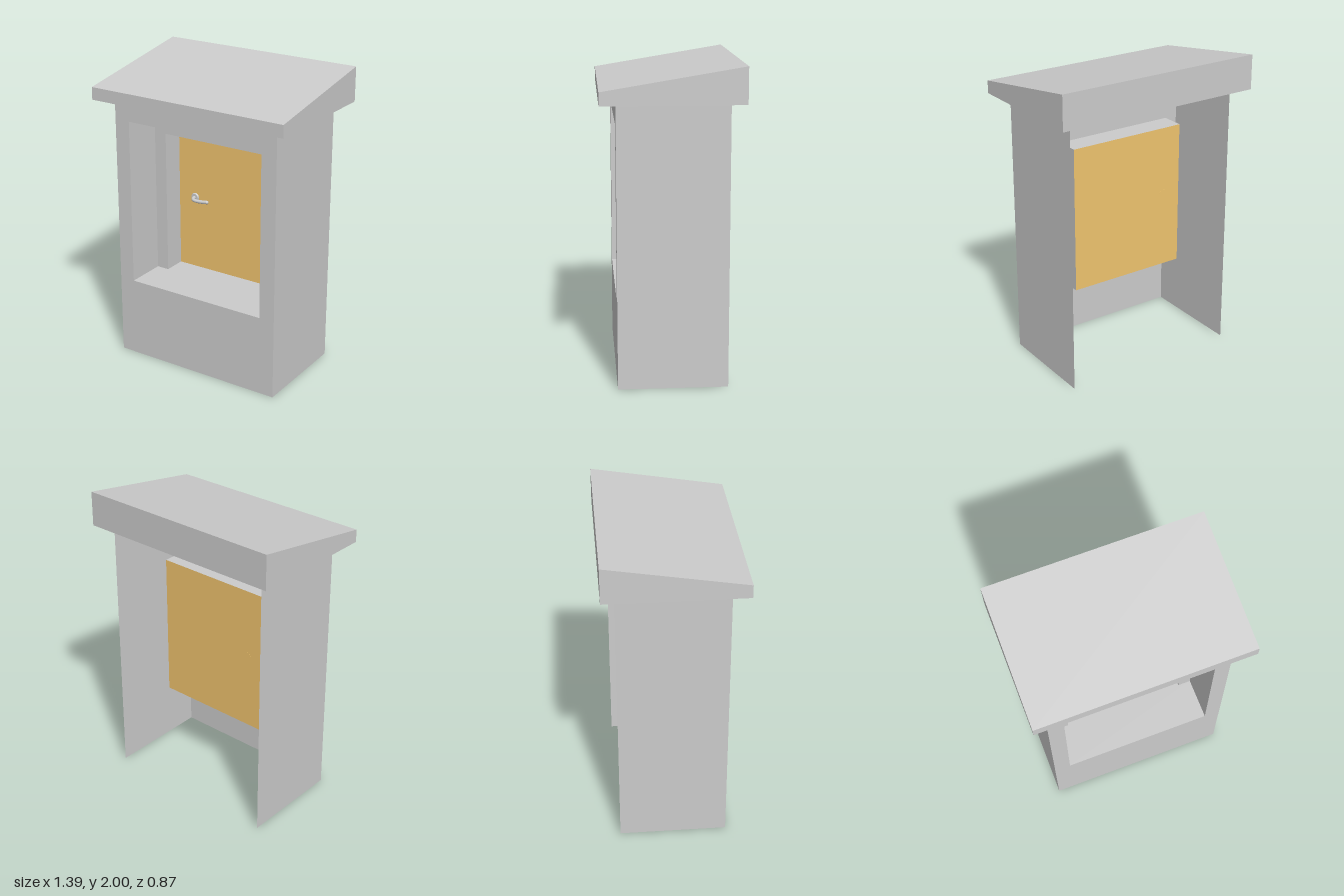
import * as THREE from 'three';

const grey = new THREE.MeshStandardMaterial({ color: 0xcccccc, side: THREE.DoubleSide });
const wood = new THREE.MeshStandardMaterial({ color: 0xf0c46e, side: THREE.DoubleSide });

const W = 0.595, H = 1.775, FRONT = 0.335, BACK = -0.35;        // booth shell
const SILL = 0.535;                                             // bottom of the opening
const OUT_X = 0.49, OUT_Y = 1.64;                               // outer opening
const IN_X = 0.405, IN_Y = 1.5;                                 // inner opening
const STEP_Z = 0.063, DOOR_Z = -0.088;

export function createModel() {
  const root = new THREE.Group();
  const add = (name, geometry, material = grey) => {
    const mesh = new THREE.Mesh(geometry, material);
    mesh.name = name;
    root.add(mesh);
    return mesh;
  };

  // Thin upright panel across x, with a rectangular opening standing on the sill
  const framePanel = (name, x, y0, y1, holeX, holeY, z) => {
    const shape = new THREE.Shape([[-x, y0], [x, y0], [x, y1], [-x, y1]].map(p => new THREE.Vector2(...p)));
    shape.holes.push(new THREE.Path(
      [[-holeX, SILL], [-holeX, holeY], [holeX, holeY], [holeX, SILL]].map(p => new THREE.Vector2(...p))));
    add(name, new THREE.ShapeGeometry(shape).translate(0, 0, z));
  };
  // Thin panel in a plane of constant x
  const sidePanel = (name, x, y0, y1, z0, z1) => add(name,
    new THREE.PlaneGeometry(z1 - z0, y1 - y0).rotateY(Math.sign(x) * Math.PI / 2)
      .translate(x, (y0 + y1) / 2, (z0 + z1) / 2));
  // Thin level panel
  const levelPanel = (name, x, y, z0, z1) => add(name,
    new THREE.PlaneGeometry(2 * x, z1 - z0).rotateX(-Math.PI / 2).translate(0, y, (z0 + z1) / 2));

  // Shell, open at the back and underneath
  framePanel('frontWall', W, 0, H, OUT_X, OUT_Y, FRONT);

  // Stepped recess around the hatch
  const step = new THREE.Shape([
    [-OUT_X, SILL], [-IN_X, SILL], [-IN_X, IN_Y], [IN_X, IN_Y],
    [IN_X, SILL], [OUT_X, SILL], [OUT_X, OUT_Y], [-OUT_X, OUT_Y],
  ].map(p => new THREE.Vector2(...p)));
  add('recessStep', new THREE.ShapeGeometry(step).translate(0, 0, STEP_Z));
  for (const s of [1, -1]) {
    const side = s > 0 ? 'left' : 'right';
    sidePanel(side + 'Wall', s * W, 0, H, BACK, FRONT);
    sidePanel(side + 'OuterJamb', s * OUT_X, SILL, OUT_Y, STEP_Z, FRONT);
    sidePanel(side + 'InnerJamb', s * IN_X, SILL, IN_Y, DOOR_Z, STEP_Z);
  }
  levelPanel('outerSill', OUT_X, SILL, STEP_Z, FRONT);
  levelPanel('innerSill', IN_X, SILL, DOOR_Z, STEP_Z);
  levelPanel('outerLintel', OUT_X, OUT_Y, STEP_Z, FRONT);
  levelPanel('innerLintel', IN_X, IN_Y, DOOR_Z, STEP_Z);

  // Hatch door at the back of the recess
  add('door', new THREE.PlaneGeometry(2 * IN_X, IN_Y - SILL)
    .translate(0, (IN_Y + SILL) / 2, DOOR_Z), wood);

  // Lever handle
  const hx = -0.28, hy = 1.038;
  add('handleRose', new THREE.CylinderGeometry(0.026, 0.03, 0.01, 32)
    .rotateX(Math.PI / 2).translate(hx, hy, DOOR_Z + 0.0055));
  add('doorCap', new THREE.CylinderGeometry(0.033, 0.033, 0.001, 32)
    .rotateX(Math.PI / 2).translate(hx, hy, DOOR_Z - 0.001), wood);
  const path = new THREE.CatmullRomCurve3([
    [hx, hy, DOOR_Z], [hx, hy - 0.002, DOOR_Z + 0.025], [hx + 0.012, hy - 0.006, DOOR_Z + 0.038],
    [hx + 0.06, hy - 0.008, DOOR_Z + 0.038], [hx + 0.113, hy - 0.004, DOOR_Z + 0.032],
  ].map(p => new THREE.Vector3(...p)));
  add('handleLever', new THREE.TubeGeometry(path, 32, 0.012, 12));
  const tip = path.getPoint(1);
  add('handleTip', new THREE.SphereGeometry(0.012, 16, 12).translate(tip.x, tip.y, tip.z));

  // Sloping roof: a box whose upper front edge is lowered
  const roof = new THREE.BoxGeometry(1.39, 0.225, 0.87).translate(0, 1.8875, 0);
  const pos = roof.attributes.position;
  for (let i = 0; i < pos.count; i++) {
    if (pos.getY(i) > 1.9 && pos.getZ(i) > 0) pos.setY(i, 1.857);
  }
  roof.computeVertexNormals();
  add('roof', roof);

  return root;
}
